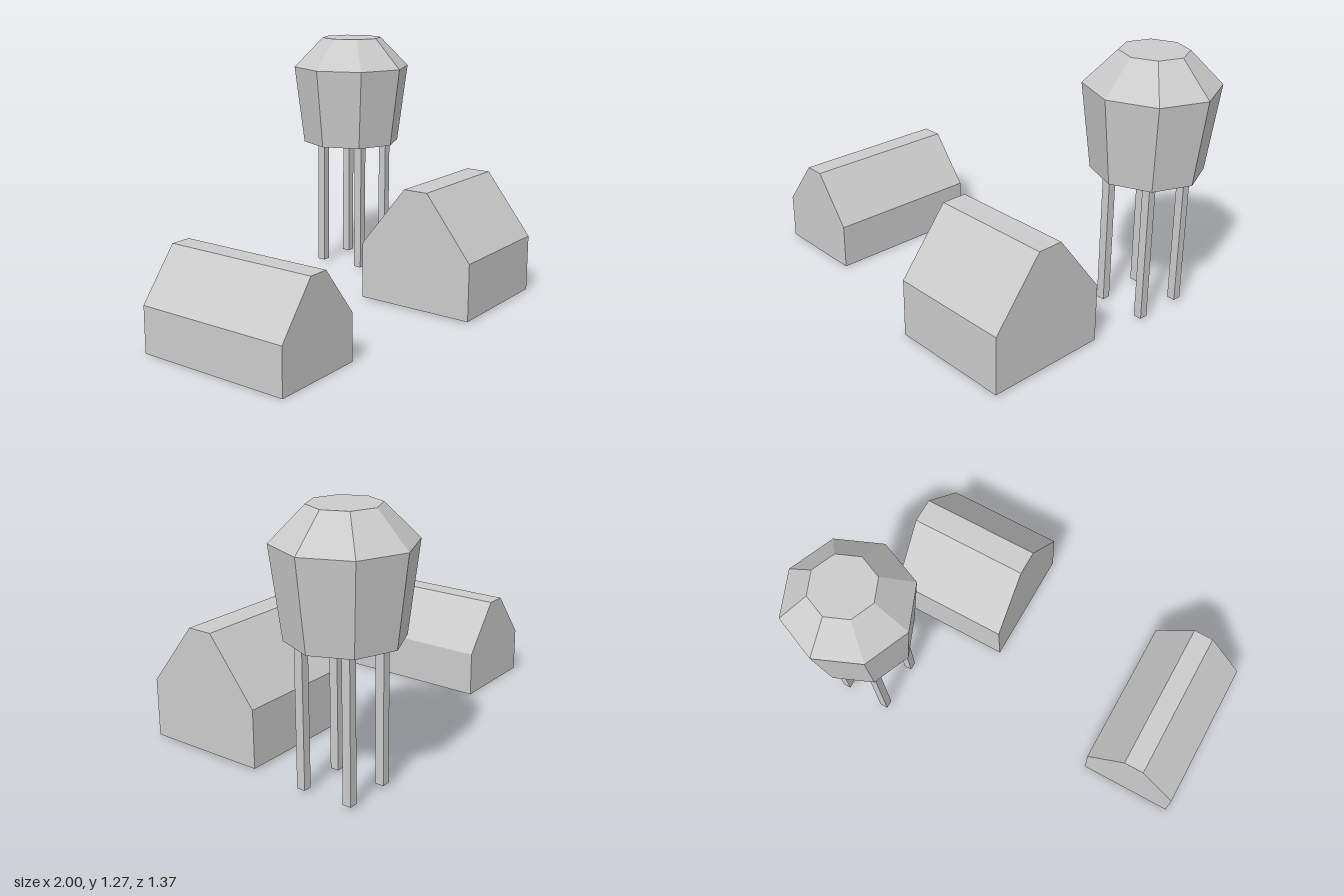
import * as THREE from 'three';

const material = new THREE.MeshStandardMaterial({ color: 0xcccccc, flatShading: true });

function addMesh(parent, name, geometry, x, y, z) {
  const mesh = new THREE.Mesh(geometry, material);
  mesh.name = name;
  mesh.position.set(x, y, z);
  parent.add(mesh);
  return mesh;
}

// House with a flat-topped gable: the gable profile extruded along its length
function houseGeometry(width, length, eaves, height, ridge) {
  const w = width / 2, r = ridge / 2;
  const gable = new THREE.Shape([[-w, 0], [w, 0], [w, eaves], [r, height], [-r, height], [-w, eaves]]
    .map(([x, y]) => new THREE.Vector2(x, y)));
  return new THREE.ExtrudeGeometry(gable, { depth: length, bevelEnabled: false })
    .translate(0, 0, -length / 2);
}

export function createModel() {
  const model = new THREE.Group();
  model.name = 'villageWithWaterTower';

  // Two houses, the second with its ridge running sideways
  addMesh(model, 'longHouse', houseGeometry(0.476, 0.784, 0.225, 0.464, 0.102), -0.762, 0.001, 0.123);
  const wide = addMesh(model, 'wideHouse', houseGeometry(0.614, 0.616, 0.287, 0.597, 0.128), 0.491, 0.008, 0.375);
  wide.rotation.y = Math.PI / 2;

  // Water tower
  const tower = new THREE.Group();
  tower.name = 'waterTower';
  model.add(tower);

  // Eight-sided tank, closed below and above
  const profile = [[0, 0.698], [0.262, 0.698], [0.315, 1.114], [0.16, 1.271], [0, 1.271]]
    .map(([r, y]) => new THREE.Vector2(r, y));
  addMesh(tower, 'tank', new THREE.LatheGeometry(profile, 8), 0.685, 0, -0.369);

  // Four square legs
  const legGeometry = new THREE.BoxGeometry(0.041, 0.685, 0.042);
  for (const x of [0.579, 0.814]) {
    for (const z of [-0.233, -0.482]) addMesh(tower, 'towerLeg', legGeometry, x, 0.3575, z);
  }
  return model;
}
